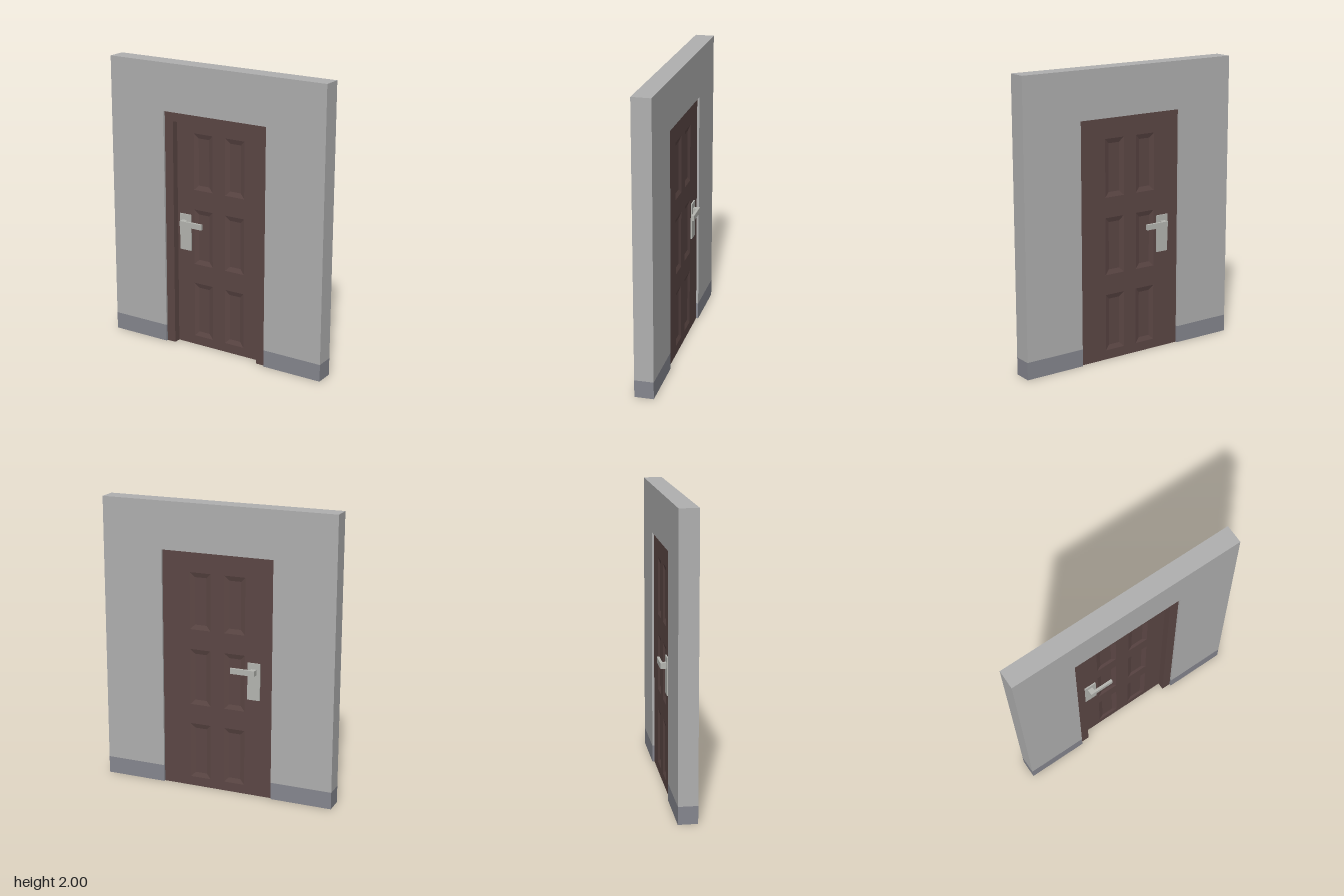
import * as THREE from 'three';

const material = (name, color) => {
  const m = new THREE.MeshStandardMaterial({ color });
  m.name = name;
  return m;
};

// Upside-down U: outer half width and height, opening half width and height, bottom level
function archShape(w, h, ow, oh, bottom) {
  return new THREE.Shape([
    [-w, bottom], [-ow, bottom], [-ow, oh], [ow, oh], [ow, bottom], [w, bottom], [w, h], [-w, h],
  ].map(([x, y]) => new THREE.Vector2(x, y)));
}

function extrude(shape, z0, z1) {
  return new THREE.ExtrudeGeometry(shape, { depth: z1 - z0, bevelEnabled: false }).translate(0, 0, z0);
}

const rectPoints = (x, y, w, h) => [[x, y], [x + w, y], [x + w, y + h], [x, y + h]];

// Four sloping faces from the rim of a sunken panel down to its floor
function panelBevel(x, y, w, h, inset, z, depth) {
  const rim = rectPoints(x, y, w, h).map(p => [...p, z]);
  const floor = rectPoints(x + inset, y + inset, w - 2 * inset, h - 2 * inset).map(p => [...p, z - depth]);
  const pos = [];
  for (let i = 0; i < 4; i++) {
    const j = (i + 1) % 4;
    pos.push(...rim[i], ...rim[j], ...floor[j], ...rim[i], ...floor[j], ...floor[i]);
  }
  const g = new THREE.BufferGeometry();
  g.setAttribute('position', new THREE.Float32BufferAttribute(pos, 3));
  g.computeVertexNormals();
  return g;
}

export function createModel() {
  const model = new THREE.Group();
  model.name = 'doorInWall';

  const wallGrey = material('wallGrey', 0xb0b0b0);
  const skirtingGrey = material('skirtingGrey', 0x86878f);
  const woodBrown = material('woodBrown', 0x5c4745);
  const metalGrey = material('metalGrey', 0xb5b6b1);

  const add = (parent, name, geometry, mat) => {
    const mesh = new THREE.Mesh(geometry, mat);
    mesh.name = name;
    parent.add(mesh);
    return mesh;
  };
  const addBox = (parent, name, mat, x0, x1, y0, y1, z0, z1) =>
    add(parent, name, new THREE.BoxGeometry(x1 - x0, y1 - y0, z1 - z0)
      .translate((x0 + x1) / 2, (y0 + y1) / 2, (z0 + z1) / 2), mat);

  const W = 0.833, OPEN = 0.4, OPEN_TOP = 1.67, SKIRT = 0.12;
  const WALL_BACK = -0.05, WALL_FRONT = 0.08;

  // Wall with a doorway, and the flush band at its foot
  add(model, 'wall', extrude(archShape(W, 2, OPEN, OPEN_TOP, SKIRT), WALL_BACK, WALL_FRONT), wallGrey);
  addBox(model, 'skirtingRight', skirtingGrey, -W, -OPEN, 0, SKIRT, WALL_BACK, WALL_FRONT);
  addBox(model, 'skirtingLeft', skirtingGrey, OPEN, W, 0, SKIRT, WALL_BACK, WALL_FRONT);

  // Frame in front of the door
  add(model, 'doorFrame', extrude(archShape(OPEN, OPEN_TOP, 0.335, 1.605, 0), 0.015, 0.065), woodBrown);

  // Door, built around its own middle plane
  const door = new THREE.Group();
  door.name = 'door';
  door.position.z = -0.01;
  model.add(door);

  const HALF = 0.025, SINK = 0.01;
  addBox(door, 'doorCore', woodBrown, -OPEN, OPEN, 0, OPEN_TOP, SINK - HALF, HALF - SINK);

  const panels = [];
  for (const y of [0.065, 0.6, 1.135])
    for (const x of [-0.2, 0.05]) panels.push([x, y, 0.15, 0.395]);

  // Panelled face and lever handle for each side; the back turns round
  for (const side of ['front', 'back']) {
    const half = new THREE.Group();
    half.name = side + 'Side';
    const isBack = side === 'back';
    if (isBack) half.rotation.y = Math.PI;
    door.add(half);

    const face = new THREE.Shape(rectPoints(-OPEN, 0, 2 * OPEN, OPEN_TOP).map(p => new THREE.Vector2(...p)));
    for (const p of panels)
      face.holes.push(new THREE.Path(rectPoints(...p).map(q => new THREE.Vector2(...q))));
    add(half, 'doorFace', extrude(face, HALF - SINK, HALF), woodBrown);
    for (const p of panels) add(half, 'panelBevel', panelBevel(...p, 0.033, HALF, SINK), woodBrown);

    // Handle stays on the same edge of the door on both sides
    const handle = new THREE.Group();
    handle.name = side + 'Handle';
    half.add(handle);
    const s = isBack ? -1 : 1;
    const part = (name, x0, x1, y0, y1, z0, z1) =>
      addBox(handle, name, metalGrey, Math.min(s * x0, s * x1), Math.max(s * x0, s * x1), y0, y1, z0, z1);
    part('handlePlate', -0.312, -0.222, 0.693, 0.952, HALF, HALF + 0.009);
    part('handleStem', -0.287, -0.25, 0.873, 0.911, HALF + 0.009, HALF + 0.032);
    part('handleLever', -0.287, -0.112, 0.873, 0.911, HALF + 0.032, HALF + 0.05);
  }

  return model;
}
